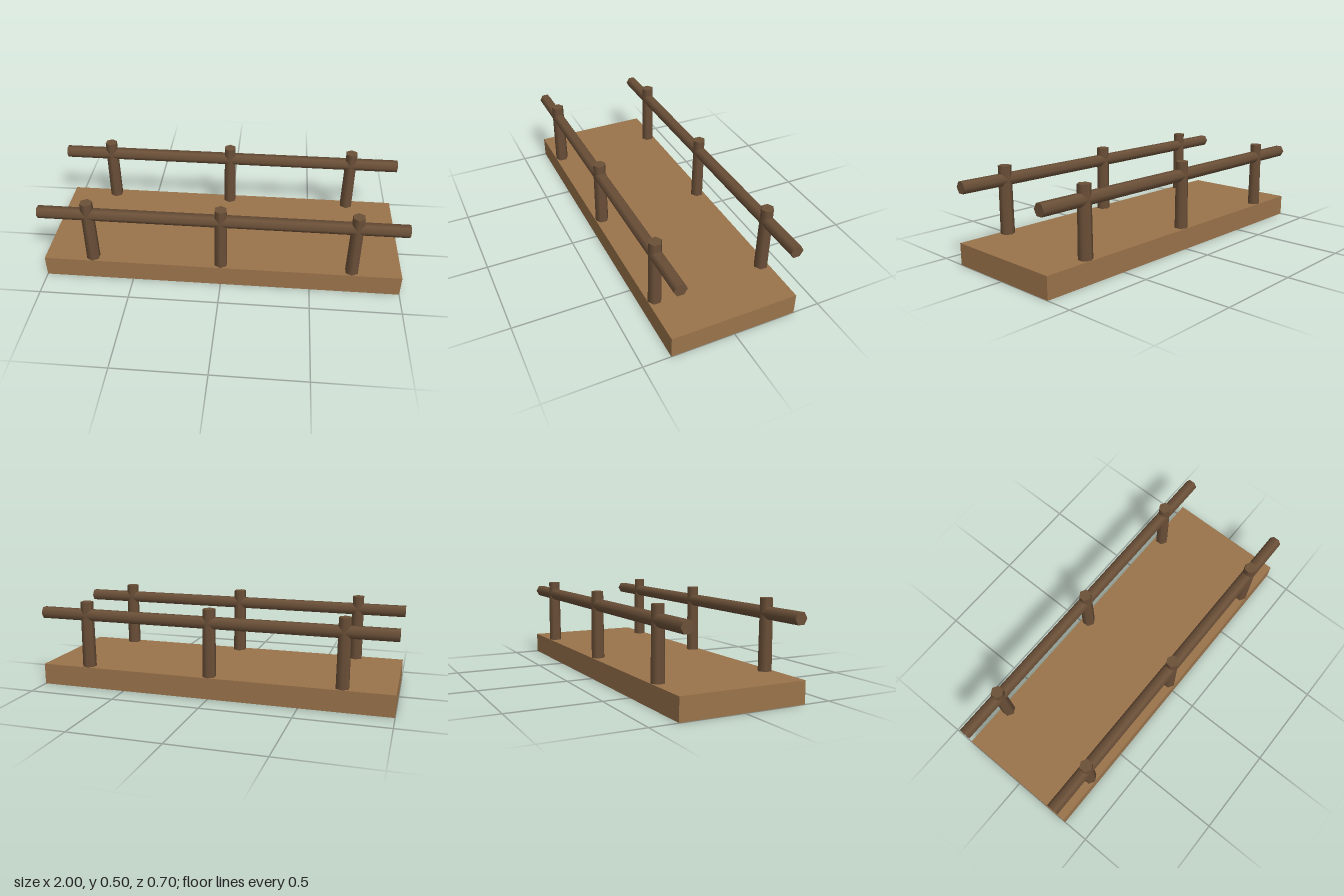
import * as THREE from 'three';

export function createModel() {
  const model = new THREE.Group();
  model.name = 'footbridge';
  const deckWood = new THREE.MeshStandardMaterial({ color: 0x9a734b });
  const railWood = new THREE.MeshStandardMaterial({ color: 0x6b5038 });

  const add = (name, geometry, material, x, y, z) => {
    const mesh = new THREE.Mesh(geometry, material);
    mesh.name = name;
    mesh.position.set(x, y, z);
    model.add(mesh);
  };

  // Deck slab
  const deckHeight = 0.12;
  add('deck', new THREE.BoxGeometry(2, deckHeight, 0.7), deckWood, 0, deckHeight / 2, 0);

  // Six-sided tapered posts and straight handrails
  const postTop = 0.497;
  const postHeight = postTop - deckHeight;
  const postGeometry = new THREE.CylinderGeometry(0.0355, 0.0385, postHeight, 6);
  const railGeometry = new THREE.CylinderGeometry(0.0355, 0.0355, 2, 6).rotateZ(Math.PI / 2);

  for (const side of [1, -1]) {
    const z = side * 0.311;
    const prefix = side > 0 ? 'front' : 'back';
    [-0.726, 0, 0.726].forEach((x, i) => {
      const place = ['Right', 'Middle', 'Left'][i];
      add(`${prefix}${place}Post`, postGeometry, railWood, x, deckHeight + postHeight / 2, z);
    });
    add(`${prefix}Handrail`, railGeometry, railWood, 0, 0.421, z);
  }
  return model;
}
